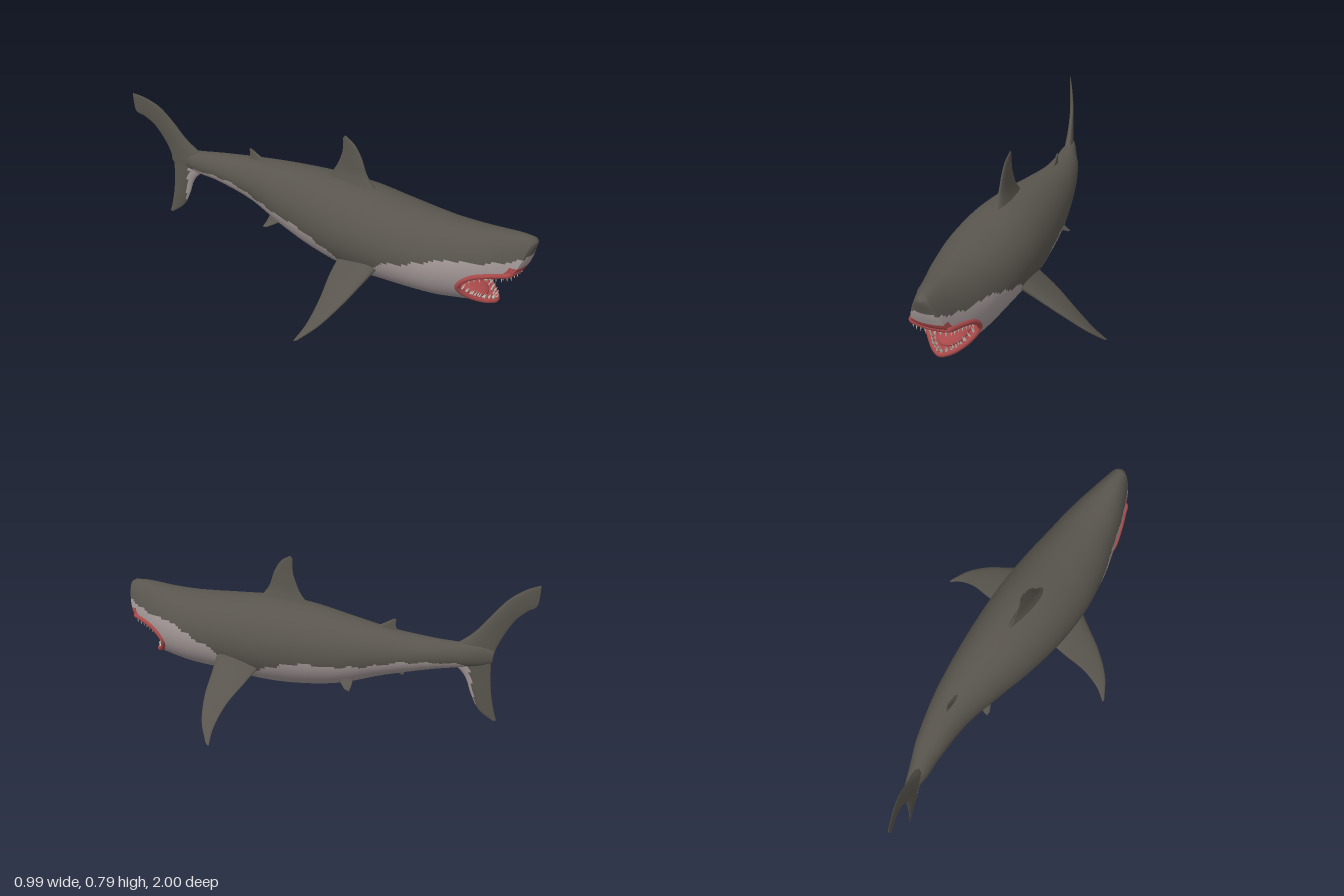
import * as THREE from 'three';

const mat = (name, color, side = THREE.FrontSide) => {
  const m = new THREE.MeshStandardMaterial({ color, side });
  m.name = name;
  return m;
};
const V = (x, y, z) => new THREE.Vector3(x, y, z);
const lerp = THREE.MathUtils.lerp;

// Smooth interpolation of table rows [key, ...values]
const profile = (table) => (key) => {
  const n = table.length;
  const s = Math.min(Math.max(key, table[0][0]), table[n - 1][0]);
  let k = 0;
  while (k < n - 2 && s > table[k + 1][0]) k++;
  const d = table[k + 1][0] - table[k][0], t = (s - table[k][0]) / d;
  const slope = (i, c) => {
    const p = table[Math.max(i - 1, 0)], q = table[Math.min(i + 1, n - 1)];
    return (q[c] - p[c]) / (q[0] - p[0]);
  };
  return table[k].slice(1).map((_, i) => {
    const c = i + 1, t2 = t * t, t3 = t2 * t;
    return (2 * t3 - 3 * t2 + 1) * table[k][c] + (t3 - 2 * t2 + t) * d * slope(k, c)
      + (3 * t2 - 2 * t3) * table[k + 1][c] + (t3 - t2) * d * slope(k + 1, c);
  });
};

// Skin over rows of points; pick(centre, row, column) chooses a material index
function skin(name, rows, mats, pick = () => 0, closed = true) {
  const n = rows[0].length, lists = mats.map(() => []);
  const id = (i, j) => i * n + (j % n);
  for (let i = 0; i < rows.length - 1; i++) {
    for (let j = 0; j < (closed ? n : n - 1); j++) {
      const k = (j + 1) % n;
      const mid = rows[i][j].clone().add(rows[i][k]).add(rows[i + 1][j]).add(rows[i + 1][k]).multiplyScalar(0.25);
      const a = id(i, j), b = id(i, k), c = id(i + 1, j), d = id(i + 1, k);
      lists[pick(mid, i, j)].push(a, c, b, b, c, d);
    }
  }
  const g = new THREE.BufferGeometry().setFromPoints(rows.flat());
  g.setIndex(lists.flat());
  let start = 0;
  lists.forEach((l, m) => { g.addGroup(start, l.length, m); start += l.length; });
  g.computeVertexNormals();
  const mesh = new THREE.Mesh(g, mats);
  mesh.name = name;
  return mesh;
}

// Body stations: z, centre x, half width, top y, bottom y
const station = profile([
  [-1, -0.22, 0.004, 0.5, 0.45], [-0.9, -0.165, 0.004, 0.5, 0.45], [-0.85, -0.14, 0.007, 0.5, 0.45],
  [-0.8, -0.122, 0.02, 0.52, 0.432], [-0.7, -0.098, 0.047, 0.525, 0.41], [-0.6, -0.067, 0.066, 0.53, 0.39],
  [-0.4, -0.028, 0.098, 0.545, 0.33], [-0.2, -0.017, 0.137, 0.565, 0.25], [0, -0.017, 0.172, 0.58, 0.2],
  [0.2, -0.015, 0.193, 0.58, 0.175], [0.4, -0.008, 0.192, 0.557, 0.178], [0.6, 0.01, 0.168, 0.537, 0.175],
  [0.7, 0.024, 0.148, 0.534, 0.183], [0.8, 0.036, 0.123, 0.537, 0.195], [0.85, 0.041, 0.108, 0.541, 0.203],
  [0.92, 0.05, 0.085, 0.545, 0.203], [1, 0.06, 0.058, 0.54, 0.203],
]);
// Height where the dark back meets the pale belly
const colourLine = profile([
  [-0.85, 0.41], [-0.7, 0.44], [-0.5, 0.428], [-0.35, 0.39], [-0.2, 0.365], [-0.05, 0.355], [0.05, 0.325],
  [0.15, 0.285], [0.25, 0.245], [0.35, 0.265], [0.4, 0.33], [0.5, 0.355], [0.6, 0.39], [0.7, 0.413],
  [0.85, 0.425], [0.95, 0.45], [1, 0.465],
]);
const onBody = (z, phi) => {
  const [cx, hw, top, bot] = station(z);
  return V(cx + hw * Math.sin(phi), (top + bot) / 2 + (top - bot) / 2 * Math.cos(phi), z);
};

const H = 48, HEAD = 36, LIP = 0.388;
// Side outline of snout and open jaws, from nose to chin (z, y)
const jawLine = new THREE.SplineCurve([
  [0.978, 0.541], [0.985, 0.52], [0.975, 0.48], [0.96, 0.43], [0.935, 0.387], [0.86, 0.372], [0.785, 0.35],
  [0.735, 0.3], [0.755, 0.255], [0.8, 0.222], [0.85, 0.203],
].map(([z, y]) => new THREE.Vector2(z, y)));
const rim = Array.from({ length: H + 1 }, (_, j) => {
  const p = jawLine.getPoint(j / H), [, , top, bot] = station(p.x);
  const c = (p.y - (top + bot) / 2) / ((top - bot) / 2);
  const phi = j === 0 ? 0 : j === H ? Math.PI : Math.acos(THREE.MathUtils.clamp(c, -1, 1));
  return { z: p.x, y: p.y, phi };
});

function bodyRows() {
  const rows = [];
  const ring = (f) => rows.push(Array.from({ length: 2 * H }, (_, j) => f(j <= H ? j : 2 * H - j, j <= H ? 1 : -1)));
  for (let i = 0; i < 110; i++) ring((j, s) => onBody(lerp(-0.85, 0.6, i / 110), s * Math.PI * j / H));
  for (let i = 0; i <= HEAD; i++) {
    const t = i / HEAD;
    ring((j, s) => onBody(lerp(0.6, rim[j].z, t), s * lerp(Math.PI * j / H, rim[j].phi, t)));
  }
  return rows;
}

// Fin lofted from rows [lead x,y,z, trail x,y,z, thickness], root to tip
function fin(name, table, mats, pick) {
  const at = profile(table.map((r, i) => [i, ...r])), last = table.length - 1, M = 24, N = 28;
  const edges = (s) => { const r = at(s); return [V(r[0], r[1], r[2]), V(r[3], r[4], r[5]), r[6]]; };
  const rows = [];
  for (let i = 0; i <= N; i++) {
    const s = last * i / N, [a, b, th] = edges(s);
    const p = edges(Math.max(0, s - 0.1)), q = edges(Math.min(last, s + 0.1));
    const span = q[0].add(q[1]).sub(p[0]).sub(p[1]);
    const normal = span.cross(b.clone().sub(a)).normalize();
    rows.push(Array.from({ length: M }, (_, k) => {
      const w = 2 * Math.PI * k / M, c = 0.5 - 0.5 * Math.cos(w);
      return a.clone().lerp(b, c).addScaledVector(normal, Math.sin(w) * th * (0.65 - 0.35 * c));
    }));
    if (i === N) rows.push(Array.from({ length: M }, () => a.clone().lerp(b, 0.5)));
  }
  return skin(name, rows, mats, pick);
}
// Upright fin on the curved spine: rows [lead z,y, trail z,y, thickness]
const uprightFin = (name, rows, mats, pick) => fin(name, rows.map(([lz, ly, tz, ty, th]) =>
  [station(lz)[0] - 0.008, ly, lz, station(tz)[0] - 0.008, ty, tz, th]), mats, pick);

export function createModel() {
  const back = mat('dark back', 0x59554e), belly = mat('pale belly', 0xa39797);
  const flesh = mat('mouth red', 0xa8494a, THREE.DoubleSide), ivory = mat('tooth ivory', 0xc4c0b4);
  const model = new THREE.Group();
  model.name = 'shark';

  // Body with countershading and red gums along the jaw edge
  const rows = bodyRows(), end = rows[rows.length - 1];
  const shade = (p) => (p.y < colourLine(p.z)[0] + 0.004 * Math.sin(p.z * 60) ? 1 : 0);
  model.add(skin('body', rows, [back, belly, flesh],
    (p, i) => (i >= rows.length - 4 && p.y < 0.415 ? 2 : shade(p))));

  // Blunt snout face between the two sides
  const j0 = rim.findIndex((r) => r.y <= LIP), W = 10;
  const snout = rim.slice(0, j0 + 1).map((r, j) => Array.from({ length: W + 1 }, (_, k) => {
    const w = 2 * k / W - 1, e = end[j], cx = station(r.z)[0];
    return V(cx + w * (e.x - cx), e.y, e.z + 0.015 * (1 - w * w) * Math.min(1, j / 4));
  }));
  model.add(skin('snout', snout, [back, belly, flesh], (p) => (p.y < 0.418 ? 2 : shade(p)), false));

  // Mouth cavity narrowing to the throat
  const loop = [...end.slice(j0, 2 * H - j0 + 1), ...snout[j0].slice(1, W)];
  const cavity = [];
  for (let i = 0; i <= 12; i++) {
    const u = i / 12, s = Math.sqrt(1 - u * u) * (i ? 0.96 : 1);
    cavity.push(loop.map((p) => V(lerp(0.02, p.x, s), lerp(0.3, p.y, s), lerp(p.z, 0.6, u))));
  }
  model.add(skin('mouthCavity', cavity, [flesh]));

  // Rounded lips
  const lipCurve = new THREE.CatmullRomCurve3(loop.filter((_, i) => i % 2 === 0), true);
  const lips = new THREE.Mesh(new THREE.TubeGeometry(lipCurve, 120, 0.011, 8, true), flesh);
  lips.name = 'lips';
  model.add(lips);

  const tongue = new THREE.Mesh(new THREE.SphereGeometry(1, 24, 16), flesh);
  tongue.name = 'tongue';
  tongue.scale.set(0.065, 0.022, 0.09);
  tongue.position.set(0.035, 0.247, 0.725);
  tongue.rotation.x = 0.3;
  model.add(tongue);

  // Teeth: an outer and an inner row
  const teeth = new THREE.Group();
  teeth.name = 'teeth';
  const cone = new THREE.ConeGeometry(0.0065, 0.034, 6);
  [[46, 0.95, 1], [38, 0.84, 0.8]].forEach(([count, pull, size]) => {
    for (let i = 0; i < count; i++) {
      const p = lipCurve.getPointAt((i + 0.5) / count), upper = p.y > 0.345;
      if (!upper && p.y > 0.27) continue;
      const dir = upper ? V(0, -1, 0.1) : V((0.04 - p.x) * 1.5, 1, 0.45);
      dir.normalize();
      const tooth = new THREE.Mesh(cone, ivory);
      tooth.name = upper ? 'upperTooth' : 'lowerTooth';
      tooth.position.set(lerp(0.042, p.x, pull), p.y, p.z - (1 - pull) * 0.12).addScaledVector(dir, 0.02);
      tooth.quaternion.setFromUnitVectors(V(0, 1, 0), dir);
      tooth.scale.setScalar(size * (i % 2 ? 1 : 0.82));
      teeth.add(tooth);
    }
  });
  model.add(teeth);

  // Fins along the back and underside
  model.add(uprightFin('dorsalFin', [[0.29, 0.545, -0.03, 0.545, 0.075], [0.225, 0.62, 0.045, 0.615, 0.03],
    [0.192, 0.7, 0.083, 0.69, 0.016], [0.155, 0.755, 0.092, 0.74, 0.01], [0.105, 0.788, 0.092, 0.775, 0.004]], [back]));
  model.add(uprightFin('secondDorsalFin', [[-0.33, 0.535, -0.45, 0.53, 0.02], [-0.39, 0.57, -0.435, 0.56, 0.011],
    [-0.425, 0.592, -0.437, 0.588, 0.004]], [back]));
  model.add(uprightFin('analFin', [[-0.4, 0.36, -0.48, 0.38, 0.02], [-0.445, 0.345, -0.478, 0.355, 0.01],
    [-0.468, 0.335, -0.48, 0.34, 0.004]], [back]));

  // Tail lobes
  model.add(uprightFin('upperTailLobe', [[-0.66, 0.49, -0.84, 0.44, 0.05], [-0.76, 0.572, -0.862, 0.53, 0.03],
    [-0.83, 0.66, -0.91, 0.63, 0.02], [-0.885, 0.73, -0.955, 0.68, 0.013], [-0.945, 0.775, -0.99, 0.705, 0.009],
    [-0.997, 0.796, -0.998, 0.765, 0.004]], [back]));
  model.add(uprightFin('lowerTailLobe', [[-0.64, 0.46, -0.84, 0.48, 0.04], [-0.73, 0.38, -0.842, 0.39, 0.026],
    [-0.768, 0.29, -0.85, 0.3, 0.018], [-0.805, 0.22, -0.865, 0.22, 0.01], [-0.865, 0.172, -0.876, 0.178, 0.004]],
  [back, belly], (p) => (p.y < 0.44 && p.y > 0.235 && p.z > -0.79 + (p.y - 0.25) * 0.2 ? 1 : 0)));

  // Paired fins; the left pectoral is swung slightly up and forward
  [[-1, 'right', 0, 0], [1, 'left', 0.02, 0.025]].forEach(([s, side, dy, dz]) => {
    const paired = (name, cx, t, lift, shift) => model.add(fin(side + name, t.map((r, i) => {
      const f = i / (t.length - 1);
      return [cx + s * r[0], r[1] + lift * f, r[2] + shift * f, cx + s * r[3], r[4] + lift * f, r[5] + shift * f, r[6]];
    }), [back]));
    paired('PectoralFin', 0, [[0.14, 0.325, 0.4, 0.14, 0.285, 0.17, 0.06], [0.24, 0.245, 0.36, 0.24, 0.225, 0.18, 0.036],
      [0.34, 0.168, 0.32, 0.34, 0.152, 0.198, 0.024], [0.43, 0.085, 0.262, 0.43, 0.07, 0.195, 0.015],
      [0.488, 0.015, 0.19, 0.493, 0.006, 0.17, 0.006]], dy, dz);
    paired('PelvicFin', -0.02, [[0.06, 0.33, -0.16, 0.06, 0.32, -0.28, 0.025], [0.09, 0.295, -0.215, 0.09, 0.285, -0.285, 0.014],
      [0.118, 0.268, -0.265, 0.118, 0.264, -0.288, 0.005]], 0, 0);
  });
  return model;
}
